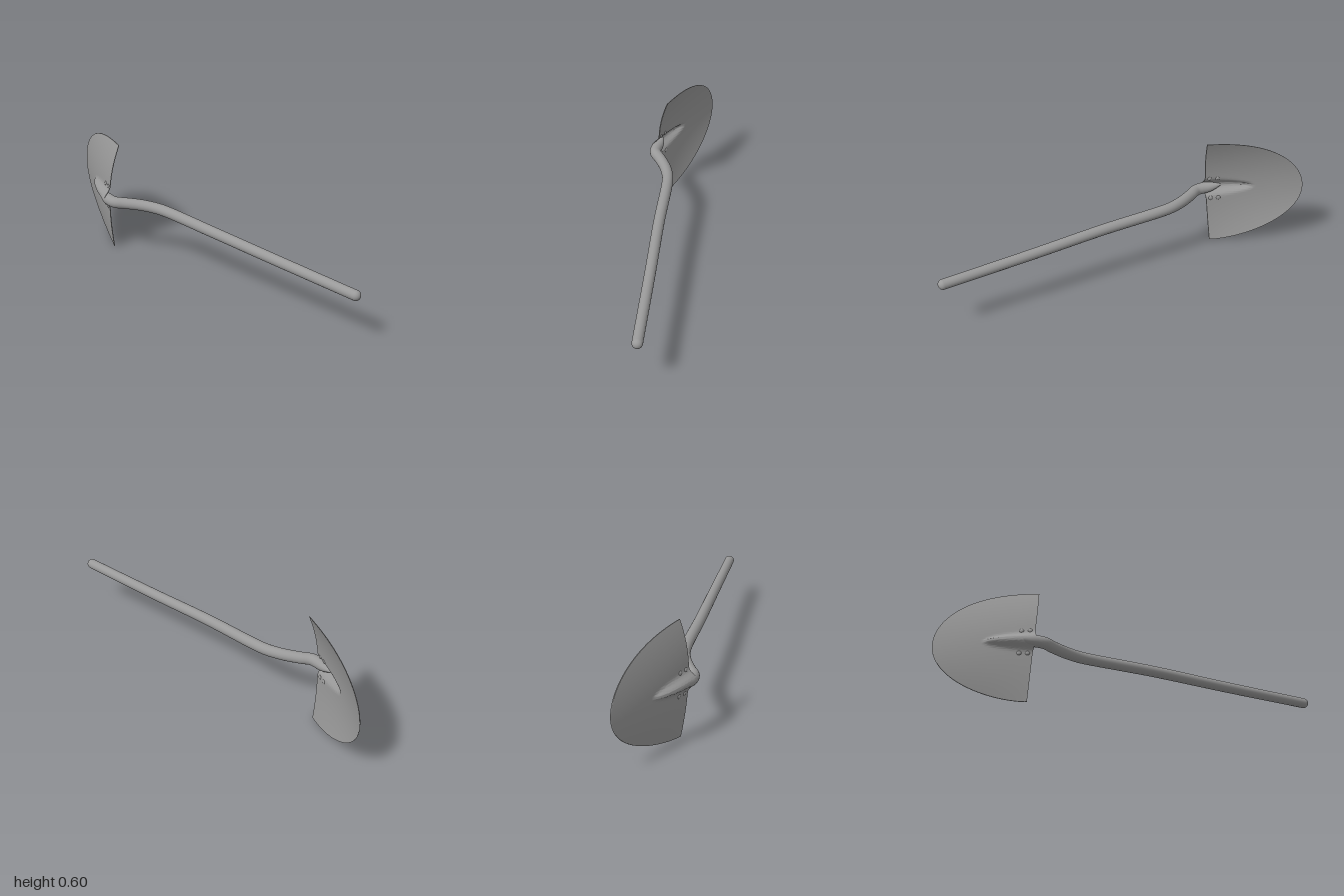
import * as THREE from 'three';
import { toCreasedNormals } from 'three/addons/utils/BufferGeometryUtils.js';

const material = new THREE.MeshStandardMaterial({ color: 0x999999 });

// Socket pressed forward out of the sheet: round in section, narrowing to a blunt end
function socketDepth(u, y) {
  const t = u / 0.5;
  if (t >= 1) return 0;
  const width = 0.034 * Math.sqrt(1 - t) + 0.004;
  return 0.039 * Math.sqrt(1 - t ** 3) * Math.exp(-(Math.abs((y - 0.306 - 0.02 * u) / width) ** 2.6));
}

// Point on the blade: u runs from the rear edge (0) to the tip (1), s across it (-1 low, 1 high)
function bladePoint(u, s) {
  const rear = -0.55 + 0.0225 * s + 0.0075 * s * s;
  const x = rear + (-1 - rear) * u;
  const reach = s > 0 ? 0.278 * Math.sqrt(1 - u ** 2.4) : 0.32 * Math.sqrt(1 - u ** 1.5);
  const y = 0.32 + s * reach;
  let z = 0.051 + (x + 0.52) * 0.405;                 // sloping sheet
  z += 0.06 * (1 - s * s) * (1 - u * u);              // dished middle
  z += 0.03 * Math.max(0, -s) ** 2 * (1 - u) ** 2;    // bent lower corner
  return new THREE.Vector3(x, y, z + socketDepth(u, y));
}

// Thin closed sheet lofted from rear edge to tip, with finer strips around the socket
function bladeGeometry() {
  const rows = 64, cols = 120, ring = 2 * (cols + 1), half = 0.002;
  const pos = [], index = [];
  for (let i = 0; i <= rows; i++) {
    const u = Math.sin((i / rows) * Math.PI / 2);
    for (let j = 0; j < ring; j++) {
      const front = j <= cols;
      const t = -1 + 2 * (front ? j : ring - 1 - j) / cols;
      const p = bladePoint(u, 0.5 * t + 0.5 * t ** 3);
      pos.push(p.x, p.y, p.z + (front ? half : -half));
    }
  }
  for (let i = 0; i < rows; i++) {
    for (let j = 0; j < ring; j++) {
      const a = i * ring + j, b = i * ring + (j + 1) % ring;
      index.push(a, b, a + ring, b, b + ring, a + ring);
    }
  }
  // Rear rim
  for (let j = 0; j < cols; j++) {
    const back = ring - 1 - j;
    index.push(j, back, j + 1, j + 1, back, back - 1);
  }
  const geo = new THREE.BufferGeometry();
  geo.setAttribute('position', new THREE.Float32BufferAttribute(pos, 3));
  geo.setIndex(index);
  return toCreasedNormals(geo, 1);
}

// Tube along a curve with a radius that depends on the distance travelled
function taperedTube(curve, segments, sides, radiusAt) {
  const geo = new THREE.TubeGeometry(curve, segments, 1, sides);
  const p = geo.attributes.position, v = new THREE.Vector3();
  for (let i = 0; i <= segments; i++) {
    const c = curve.getPointAt(i / segments), r = radiusAt(i / segments);
    for (let j = 0; j <= sides; j++) {
      const n = i * (sides + 1) + j;
      v.fromBufferAttribute(p, n).sub(c).multiplyScalar(r).add(c);
      p.setXYZ(n, v.x, v.y, v.z);
    }
  }
  return geo;
}

export function createModel() {
  const group = new THREE.Group();
  const add = (name, geo) => {
    const mesh = new THREE.Mesh(geo, material);
    mesh.name = name;
    group.add(mesh);
    return mesh;
  };

  add('blade', bladeGeometry());

  // Handle: nose inside the socket, bends back, then runs straight to the grip
  const path = new THREE.CatmullRomCurve3([
    [-0.64, 0.309, 0.092], [-0.59, 0.306, 0.100], [-0.54, 0.303, 0.112],
    [-0.50, 0.301, 0.112], [-0.45, 0.301, 0.083], [-0.37, 0.302, 0.043], [-0.29, 0.302, 0.018],
    [-0.22, 0.302, 0.010], [0.1, 0.294, 0.007], [0.5, 0.277, -0.005], [0.974, 0.260, -0.017],
  ].map(p => new THREE.Vector3(...p)));
  const radiusAt = t => {
    const grow = Math.min(1, t / 0.06);
    return (0.03 - 0.004 * t) * (0.15 + 0.85 * Math.sin(grow * Math.PI / 2));
  };
  add('handle', taperedTube(path, 140, 24, radiusAt));
  add('handleEnd', new THREE.SphereGeometry(0.026, 24, 16)).position.copy(path.getPoint(1));

  // Low rivets either side of the socket
  for (const s of [-0.235, 0.16]) {
    for (const u of [0.05, 0.135]) {
      const rivet = add('rivet', new THREE.SphereGeometry(0.012, 16, 12));
      rivet.position.copy(bladePoint(u, s));
      rivet.rotation.y = -0.39;
      rivet.scale.z = 0.5;
    }
  }
  return group;
}
